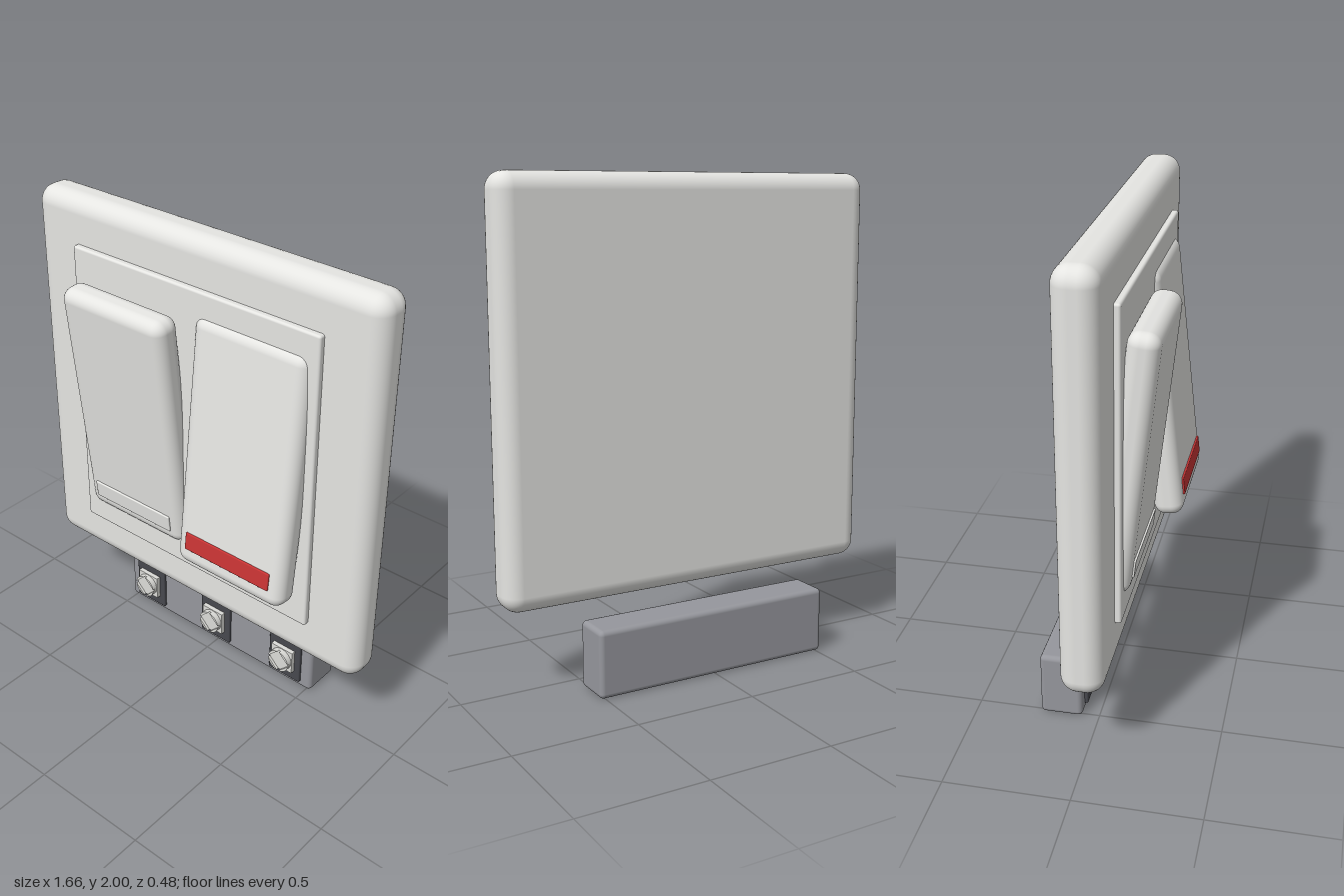
import * as THREE from 'three';
import { RoundedBoxGeometry } from 'three/addons/geometries/RoundedBoxGeometry.js';

const material = (name, color) => {
  const m = new THREE.MeshStandardMaterial({ color });
  m.name = name;
  return m;
};

export function createModel() {
  const white = material('white plastic', 0xe5e5e2);
  const red = material('red indicator', 0xc83434);
  const grey = material('grey housing', 0x96979d);
  const dark = material('dark contact', 0x47484e);
  const metal = material('screw metal', 0xdcdcd8);

  const model = new THREE.Group();
  model.name = 'doubleSwitch';

  const add = (parent, name, geometry, mat, x, y, z) => {
    const mesh = new THREE.Mesh(geometry, mat);
    mesh.name = name;
    mesh.position.set(x, y, z);
    parent.add(mesh);
    return mesh;
  };
  const rounded = (w, h, d, r, s = 5) => new RoundedBoxGeometry(w, h, d, s, r);

  // Wall plate and raised inner frame
  add(model, 'wallPlate', rounded(1.664, 1.664, 0.172, 0.07), white, 0, 1.168, 0);
  add(model, 'innerFrame', rounded(1.2, 1.28, 0.06, 0.01, 2), white, 0, 1.17, 0.081);

  // Two rockers tilted in opposite directions
  for (const [side, tilt, mat, stripY] of [[-1, 0.11, white, -0.432], [1, -0.11, red, -0.418]]) {
    const rocker = new THREE.Group();
    rocker.name = side < 0 ? 'rightRocker' : 'leftRocker';
    rocker.position.set(side * 0.297, 1.17, 0);
    rocker.rotation.x = tilt;
    add(rocker, 'rockerPaddle', rounded(0.53, 1.07, 0.124, 0.05), white, 0, 0, 0.124);
    add(rocker, 'indicatorStrip', rounded(0.42, 0.076, 0.02, 0.004, 2), mat, 0, stripY, 0.184);
    model.add(rocker);
  }

  // Terminal block
  const block = new THREE.Group();
  block.name = 'terminalBlock';
  block.position.y = 0.138;
  model.add(block);
  add(block, 'blockHousing', rounded(1.044, 0.274, 0.172, 0.02, 3), grey, 0, 0, -0.154);

  // One quarter of a cross-slotted screw head
  const gap = 0.005, r = 0.052;
  const inner = Math.asin(gap / r);
  const quarter = new THREE.Shape();
  quarter.moveTo(gap, gap);
  quarter.absarc(0, 0, r, inner, Math.PI / 2 - inner, false);
  quarter.closePath();
  const quarterGeometry = new THREE.ExtrudeGeometry(quarter, {
    depth: 0.012, bevelEnabled: false, curveSegments: 8,
  });

  for (const x of [-0.39, 0, 0.39]) {
    const terminal = new THREE.Group();
    terminal.name = 'terminal';
    terminal.position.x = x;
    block.add(terminal);
    add(terminal, 'contactPad', rounded(0.164, 0.216, 0.02, 0.006, 2), dark, 0, 0.003, -0.064);
    add(terminal, 'clampPlate', new THREE.BoxGeometry(0.11, 0.11, 0.022), metal, 0, 0.002, -0.045);
    const base = new THREE.CylinderGeometry(r, r, 0.014, 32).rotateX(Math.PI / 2);
    add(terminal, 'screwBase', base, metal, 0, 0.002, -0.028);
    for (let i = 0; i < 4; i++) {
      const part = add(terminal, 'screwHead', quarterGeometry, metal, 0, 0.002, -0.021);
      part.rotation.z = i * Math.PI / 2;
    }
  }
  return model;
}
